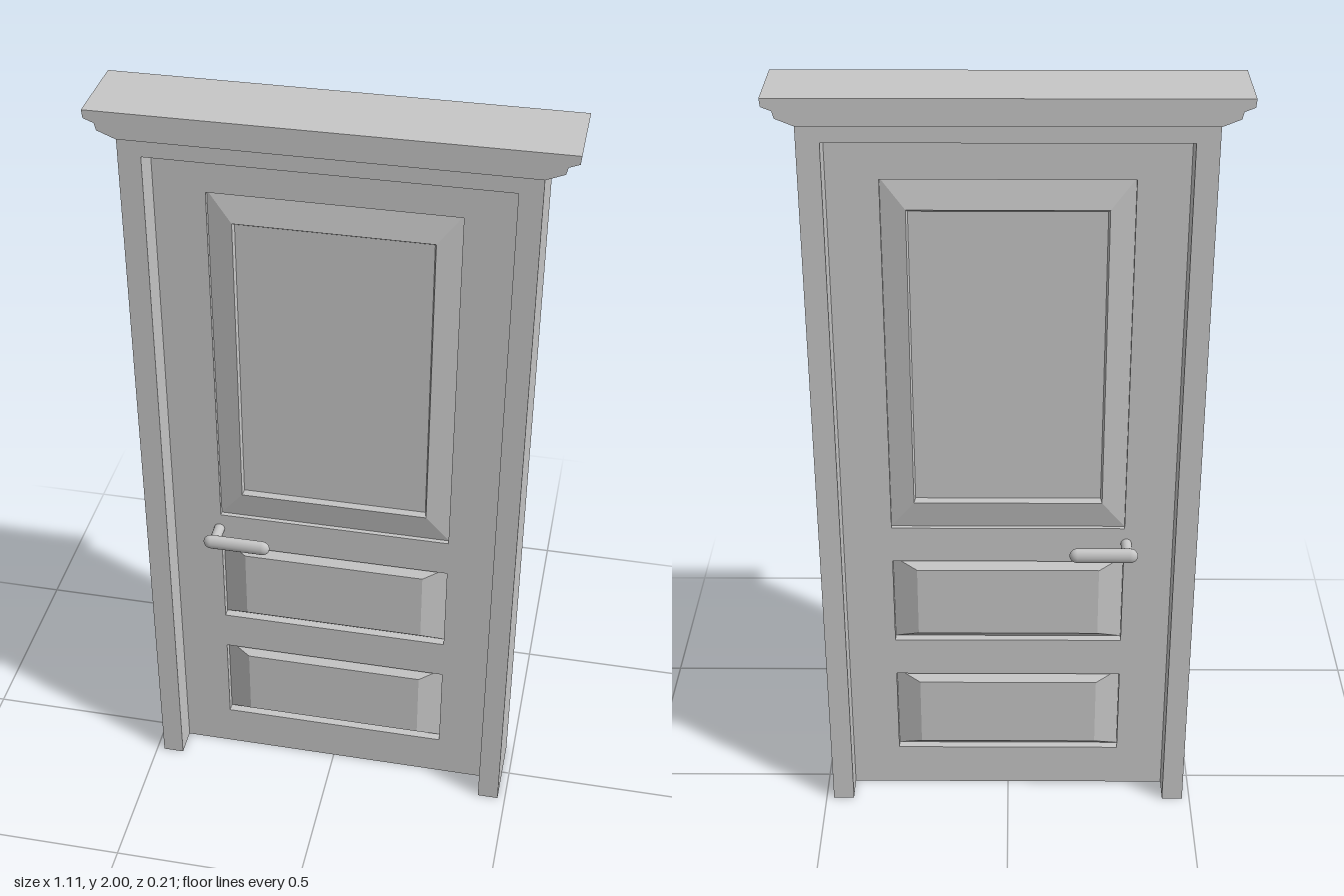
import * as THREE from 'three';

const grey = new THREE.MeshStandardMaterial({ color: 0xc6c6c6 });
grey.name = 'paintedGrey';

const FACE = 0.027; // half thickness of the door leaf
const UPPER = [0.83, 1.78]; // bottom and top of the panel openings
const LOWERS = [[0.12, 0.37], [0.48, 0.73]];
const HALF_OPENING = 0.3;

function mesh(name, geometry, x = 0, y = 0, z = 0) {
  const m = new THREE.Mesh(geometry, grey);
  m.name = name;
  m.position.set(x, y, z);
  return m;
}

const polygon = (Type, points) => new Type(points.map(([x, y]) => new THREE.Vector2(x, y)));
const rectangle = (Type, w, b, t) => polygon(Type, [[-w, b], [w, b], [w, t], [-w, t]]);

// Rectangular panel made of nested rings [halfWidth, bottom, top, z], capped at the last ring
function panelGeometry(rings) {
  const pos = [];
  const corners = ([w, b, t, z]) => [[-w, b, z], [w, b, z], [w, t, z], [-w, t, z]];
  const quad = (a, b, c, d) => pos.push(...a, ...b, ...c, ...a, ...c, ...d);
  for (let i = 0; i < rings.length - 1; i++) {
    const o = corners(rings[i]);
    const n = corners(rings[i + 1]);
    for (let k = 0; k < 4; k++) {
      const j = (k + 1) % 4;
      quad(o[k], o[j], n[j], n[k]);
    }
  }
  quad(...corners(rings[rings.length - 1]));
  const g = new THREE.BufferGeometry();
  g.setAttribute('position', new THREE.Float32BufferAttribute(pos, 3));
  g.computeVertexNormals();
  return g;
}

// Lever handle: flattened capsule bar on a round post
function handle(x, dir) {
  const g = new THREE.Group();
  g.name = 'handle';
  const lever = new THREE.CapsuleGeometry(0.02, 0.135, 8, 16);
  lever.rotateZ(Math.PI / 2);
  lever.scale(1, 1, 0.7);
  const post = new THREE.CylinderGeometry(0.014, 0.014, 0.06, 16);
  post.rotateX(Math.PI / 2);
  g.add(mesh('handleLever', lever, x + dir * 0.06, 0.785, 0.086));
  g.add(mesh('handlePost', post, x, 0.785, 0.056));
  return g;
}

// Panels and handle for one face of the door; each panel starts sunk in its opening
function doorSide(name, handleX) {
  const side = new THREE.Group();
  side.name = name;
  const [b, t] = UPPER;
  side.add(mesh('upperPanel', panelGeometry([
    [HALF_OPENING, b, t, 0.015],
    [0.24, b + 0.077, t - 0.075, 0.029],
    [0.236, b + 0.086, t - 0.082, 0.018],
  ])));
  for (const [bottom, top] of LOWERS) {
    side.add(mesh('lowerPanel', panelGeometry([
      [HALF_OPENING, bottom, top, 0.005],
      [0.237, bottom + 0.027, top - 0.025, 0.033],
    ])));
  }
  side.add(handle(handleX, -Math.sign(handleX)));
  return side;
}

export function createModel() {
  const model = new THREE.Group();
  model.name = 'door';

  // Frame
  for (const s of [-1, 1]) {
    model.add(mesh('jamb', new THREE.BoxGeometry(0.055, 1.94, 0.2), s * 0.4525, 0.97, 0));
  }
  model.add(mesh('header', new THREE.BoxGeometry(0.85, 0.045, 0.2), 0, 1.9175, 0));

  // Stepped cornice, extruded through the wall depth
  const half = [[0.48, 1.935], [0.524, 1.953], [0.528, 1.97], [0.553, 1.98], [0.555, 2]];
  const outline = [...half, ...half.map(([x, y]) => [-x, y]).reverse()];
  const cornice = new THREE.ExtrudeGeometry(polygon(THREE.Shape, outline), { depth: 0.206, bevelEnabled: false });
  model.add(mesh('cornice', cornice, 0, 0, -0.103));

  // Door leaf with three openings
  const leaf = rectangle(THREE.Shape, 0.425, 0, 1.895);
  for (const [b, t] of [UPPER, ...LOWERS]) {
    leaf.holes.push(rectangle(THREE.Path, HALF_OPENING, b, t));
  }
  const leafGeometry = new THREE.ExtrudeGeometry(leaf, { depth: FACE * 2, bevelEnabled: false });
  model.add(mesh('doorLeaf', leafGeometry, 0, 0, -FACE));

  // Matching panels and handles on both faces
  model.add(doorSide('frontSide', -0.305));
  const back = doorSide('backSide', 0.305);
  back.rotation.y = Math.PI;
  model.add(back);

  return model;
}
